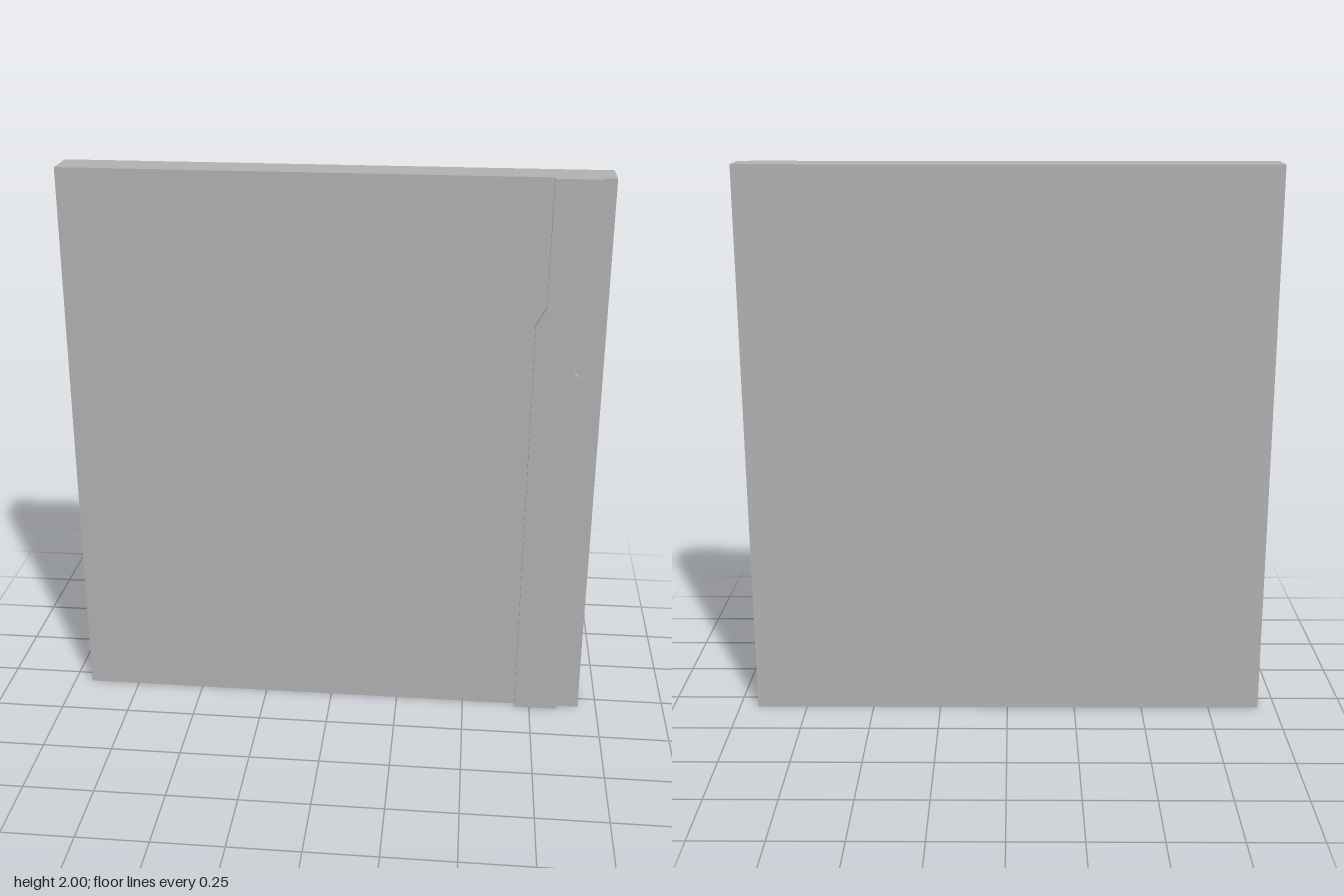
import * as THREE from 'three';

export function createModel() {
  const group = new THREE.Group();
  const grey = new THREE.MeshStandardMaterial({ color: 0xb0b0b0 });
  grey.name = 'stone grey';

  const back = -0.078, step = 0.057, front = 0.078;
  const left = -0.935, right = 0.932;

  // Main flat slab
  const slab = new THREE.Mesh(new THREE.BoxGeometry(right - left, 2, step - back), grey);
  slab.name = 'slab';
  slab.position.set((left + right) / 2, 1, (back + step) / 2);
  group.add(slab);

  // Raised strip with a stepped inner edge and a ragged outer edge
  const outline = [
    [0.695, 0], [0.853, 0], [0.853, 0.085], [0.863, 0.105], [0.847, 0.27],
    [0.842, 0.58], [0.885, 0.59], [0.877, 0.745], [0.835, 0.835], [0.835, 1.155],
    [0.853, 1.165], [0.853, 1.32], [0.835, 1.335], [0.835, 1.405], [0.891, 1.415],
    [0.853, 1.595], [0.845, 1.735], [0.875, 1.81], [0.888, 2],
    [0.73, 2], [0.73, 1.565], [0.695, 1.5],
  ];
  const shape = new THREE.Shape(outline.map(([x, y]) => new THREE.Vector2(x, y)));
  const strip = new THREE.Mesh(
    new THREE.ExtrudeGeometry(shape, { depth: front - step, bevelEnabled: false }), grey);
  strip.name = 'raisedStrip';
  strip.position.z = step;
  group.add(strip);

  return group;
}
